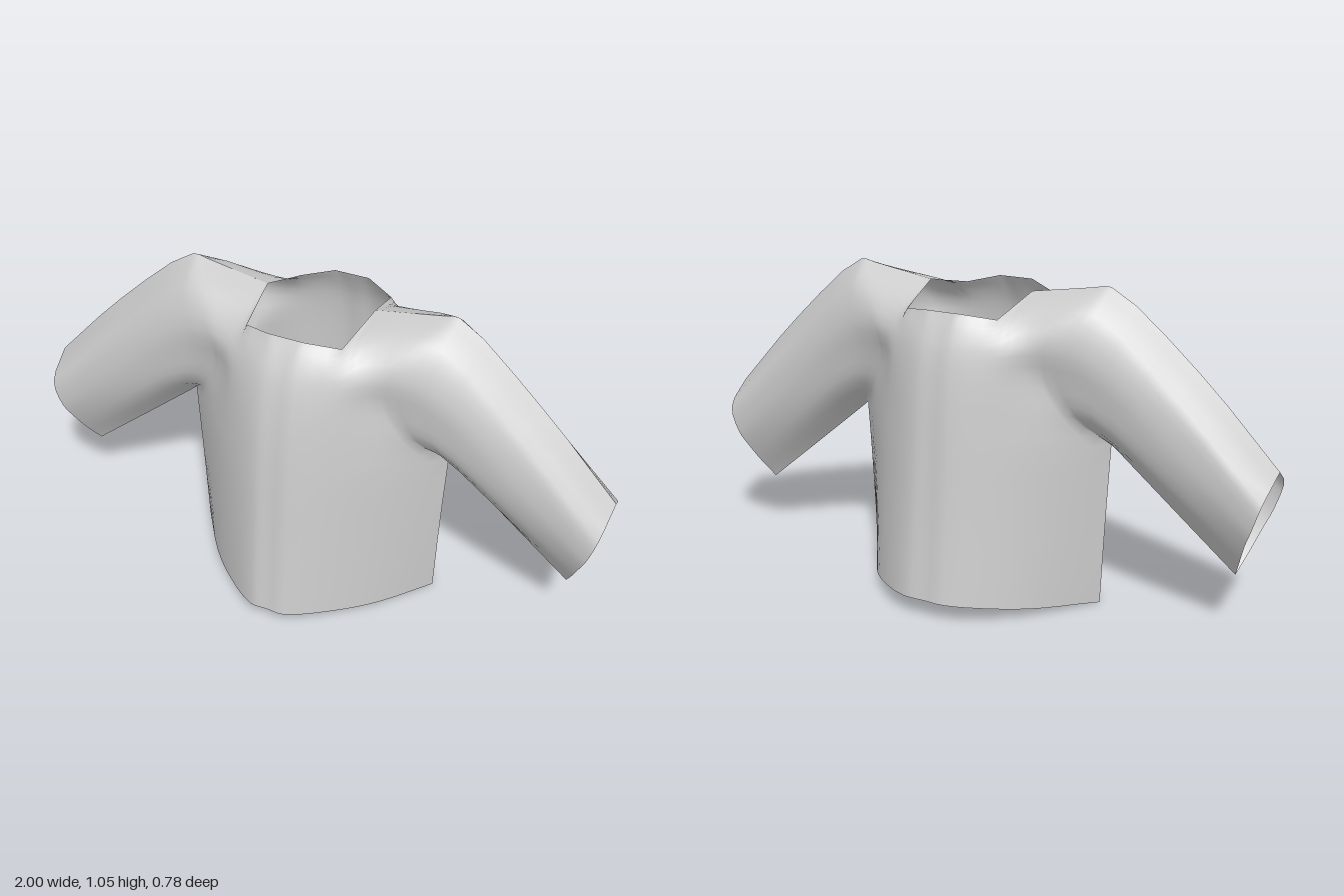
import * as THREE from 'three';
import { mergeGeometries, mergeVertices } from 'three/addons/utils/BufferGeometryUtils.js';

// Control points are [x, y, depth away from the side seam].
// Torso rows, hem to chest; each runs from the centre line to the side seam / armhole.
const torsoRows = [
  [[0, .035, .387], [.06, .035, .387], [.19, .025, .295], [.305, .012, .178], [.435, 0, 0]],
  [[0, .3, .36], [.06, .3, .36], [.19, .3, .278], [.31, .3, .163], [.447, .3, 0]],
  [[0, .55, .338], [.06, .55, .338], [.19, .55, .264], [.315, .55, .152], [.46, .55, 0]],
  [[0, .68, .325], [.06, .68, .325], [.185, .68, .256], [.285, .68, .168], [.365, .66, .105]],
  [[0, .8, .308], [.06, .8, .308], [.18, .8, .246], [.25, .8, .182], [.3, .79, .147]],
  [[0, .89, .287], [.06, .89, .287], [.17, .89, .235], [.24, .9, .19], [.31, .9, .165]],
  [[0, .95, .26], [.06, .95, .26], [.165, .94, .21], [.215, .982, .12], [.355, .997, .107]],
];
// Neckline with straight edges, ending along the shoulder seam
const neckRow = [[0, .995, .235], [.06, .995, .235], [.16, .972, .185], [.185, 1.012, 0], [.4, 1.047, 0]];
// Sleeve sections, shoulder to cuff; each runs from the underarm to the top seam.
const sleeveRings = [
  [[.48, .533, 0], [.445, .65, .105], [.42, .77, .132], [.42, .88, .142], [.44, .99, .095], [.455, 1.053, 0]],
  [[.68, .368, 0], [.68, .47, .083], [.69, .57, .114], [.7, .66, .116], [.715, .75, .092], [.74, .822, 0]],
  [[.885, .2, 0], [.91, .265, .045], [.935, .335, .085], [.957, .39, .107], [.985, .48, .104], [1, .555, 0]],
];
const SUB = 3; // subdivisions per span

// Smooth curve through points, evenly divided between them
function smooth(points) {
  const curve = new THREE.CatmullRomCurve3(points, false, 'centripetal');
  return curve.getPoints((points.length - 1) * SUB);
}
// Straight edges through points, divided the same way
function straight(points) {
  return points.flatMap((p, i) => i === 0 ? [p] : Array.from({ length: SUB },
    (_, k) => points[i - 1].clone().lerp(p, (k + 1) / SUB)));
}
const vectors = list => list.map(p => new THREE.Vector3(...p));
const transpose = grid => grid[0].map((_, i) => grid.map(row => row[i]));

// Columns of points, each running upward and turning a corner at armpit level
const torsoLines = [...torsoRows.map(r => smooth(vectors(r))), straight(vectors(neckRow))];
const torsoGrid = transpose(torsoLines).map(c => [...smooth(c.slice(0, 3)), ...smooth(c.slice(2)).slice(1)]);
const armhole = torsoGrid[torsoGrid.length - 1].slice(2 * SUB);
const sleeveRows = transpose([armhole, ...sleeveRings.map(r => smooth(vectors(r)))]);
const sleeveGrid = transpose(sleeveRows.map(smooth));

// Sheet from a grid of columns, placed on one side (sx) of the front or back (sz);
// fullness widens the back between centre and side
function sheet(grid, sx, sz, fullness) {
  const rows = grid[0].length, positions = [], index = [];
  grid.forEach((column, i) => column.forEach((p, j) => {
    const d = Math.max(0, p.z);
    const bulge = Math.sin(Math.PI * i / (grid.length - 1)) ** 2 * fullness * (1 - p.y);
    const y = sz > 0 ? p.y : p.y + d * (.08 - .18 * p.y); // back hem higher, back neck lower
    positions.push(sx * (p.x + bulge), y, -.02 * p.y ** 4 + sz * d);
    if (i && j) {
      const a = (i - 1) * rows + j - 1, b = i * rows + j - 1, c = b + 1, e = a + 1;
      if (sx * sz > 0) index.push(a, b, c, a, c, e);
      else index.push(a, c, b, a, e, c);
    }
  }));
  const geometry = new THREE.BufferGeometry();
  geometry.setAttribute('position', new THREE.Float32BufferAttribute(positions, 3));
  geometry.setIndex(index);
  return geometry;
}

// Torso and both sleeves in one smooth piece, with hard seams at its outer edge
function panel(sz) {
  const fullness = sz > 0 ? 0 : .03;
  const parts = [1, -1].flatMap(sx => [sheet(torsoGrid, sx, sz, fullness), sheet(sleeveGrid, sx, sz, 0)]);
  const geometry = mergeVertices(mergeGeometries(parts), 1e-4);
  geometry.computeVertexNormals();
  return geometry;
}

export function createModel() {
  const fabric = new THREE.MeshStandardMaterial({ color: 0xcccccc, side: THREE.DoubleSide });
  fabric.name = 'greyFabric';
  const group = new THREE.Group();
  group.name = 'shirt';
  for (const [name, sz] of [['frontPanel', 1], ['backPanel', -1]]) {
    const mesh = new THREE.Mesh(panel(sz), fabric);
    mesh.name = name;
    group.add(mesh);
  }
  return group;
}
